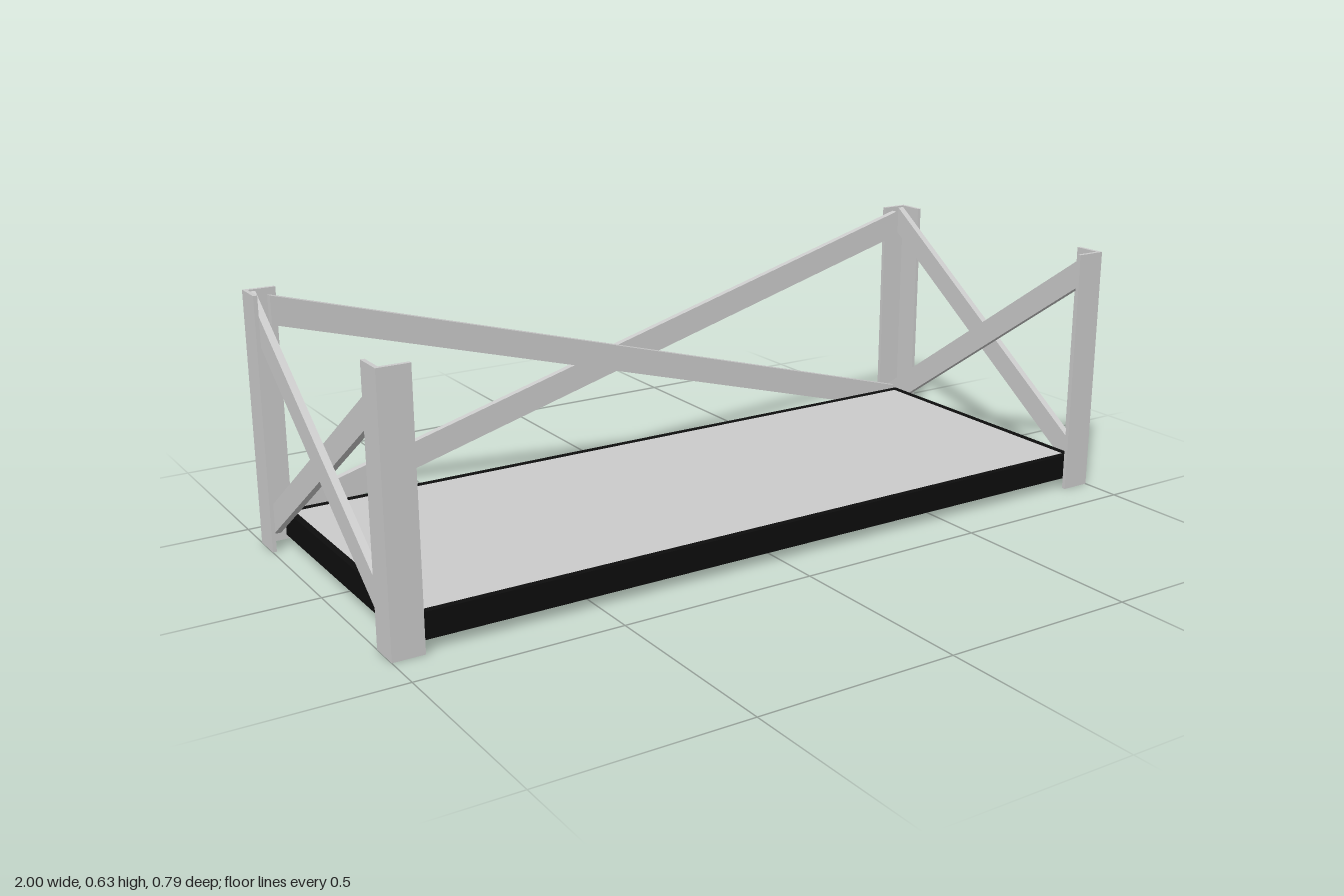
import * as THREE from 'three';

const grey = new THREE.MeshStandardMaterial({ color: 0xcccccc });
const black = new THREE.MeshStandardMaterial({ color: 0x0d0d0d });

const H = 0.635, X = 1, Z = 0.397; // overall height and half sizes
const T = 0.01;  // angle-iron thickness
const B = 0.018; // brace thickness

function add(parent, name, geometry, material, x = 0, y = 0, z = 0) {
  const mesh = new THREE.Mesh(geometry, material);
  mesh.name = name;
  mesh.position.set(x, y, z);
  parent.add(mesh);
  return mesh;
}

// L-shaped corner post; sx and sz choose the corner
function post(sx, sz) {
  const w = 0.077;
  const pts = [[0, 0], [w, 0], [w, T], [T, T], [T, w], [0, w]]
    .map(([a, b]) => new THREE.Vector2(sx * (X - a), -sz * (Z - b)));
  const g = new THREE.ExtrudeGeometry(new THREE.Shape(pts), { depth: H, bevelEnabled: false });
  return g.rotateX(-Math.PI / 2);
}

// Flat diagonal bar with upright-cut ends, thickness along +z
function brace(u0, u1, slope, height) {
  const mid = 0.325, h = height / 2;
  const pts = [[u0, -h], [u1, -h], [u1, h], [u0, h]]
    .map(([u, d]) => new THREE.Vector2(u, mid + slope * u + d));
  return new THREE.ExtrudeGeometry(new THREE.Shape(pts), { depth: B, bevelEnabled: false });
}

export function createModel() {
  const model = new THREE.Group();
  model.name = 'rack';

  // Corner posts
  for (const sx of [-1, 1]) {
    for (const sz of [-1, 1]) {
      add(model, (sz > 0 ? 'front' : 'back') + (sx > 0 ? 'Left' : 'Right') + 'Post', post(sx, sz), grey);
    }
  }

  // Crossed back braces, one behind the other
  const back = new THREE.Group();
  back.name = 'backBraces';
  model.add(back);
  add(back, 'outerBackBrace', brace(-0.95, 0.95, 0.277, 0.071), grey, 0, 0, -Z + T);
  add(back, 'innerBackBrace', brace(-0.95, 0.95, -0.277, 0.071), grey, 0, 0, -Z + T + B);

  // Crossed side braces, mirrored left and right
  for (const s of [-1, 1]) {
    const side = new THREE.Group();
    side.name = s > 0 ? 'leftBraces' : 'rightBraces';
    model.add(side);
    const end = Z - T;
    // after the quarter turn the bar runs along -z and its thickness along +x
    const outer = brace(-end, end, 0.695, 0.0735).rotateY(Math.PI / 2);
    const inner = brace(-end, end, -0.695, 0.0735).rotateY(Math.PI / 2);
    add(side, 'outerSideBrace', outer, grey, s * (X - T - B / 2) - B / 2);
    add(side, 'innerSideBrace', inner, grey, s * (X - T - 1.5 * B) - B / 2);
  }

  // Shelf: grey panel inside a black rim
  const shelf = new THREE.Group();
  shelf.name = 'shelf';
  model.add(shelf);
  const hx = 0.953, z0 = -0.349, z1 = 0.385, rim = 0.017;
  const y = 0.0585, h = 0.064, zc = (z0 + z1) / 2, d = z1 - z0;
  for (const s of [-1, 1]) {
    add(shelf, s > 0 ? 'frontRim' : 'backRim',
      new THREE.BoxGeometry(2 * hx, h, rim), black, 0, y, zc + s * (d - rim) / 2);
    add(shelf, s > 0 ? 'leftRim' : 'rightRim',
      new THREE.BoxGeometry(rim, h, d - 2 * rim), black, s * (hx - rim / 2), y, zc);
  }
  add(shelf, 'panel', new THREE.BoxGeometry(2 * (hx - rim), h - 0.002, d - 2 * rim), grey, 0, y, zc);

  return model;
}
